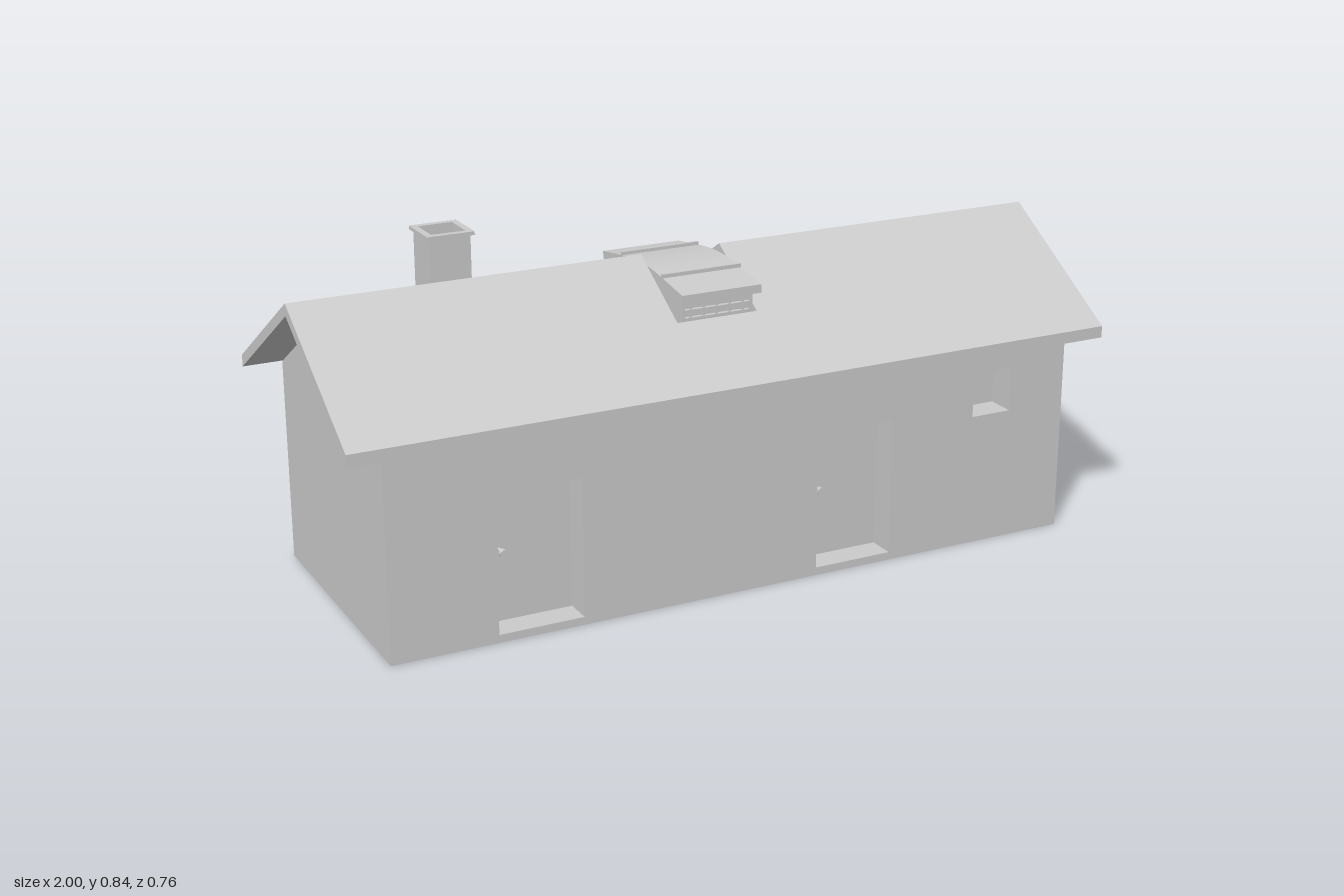
import * as THREE from 'three';

const material = new THREE.MeshStandardMaterial({ color: 0xcccccc });

function add(parent, name, geometry, x = 0, y = 0, z = 0) {
  const mesh = new THREE.Mesh(geometry, material);
  mesh.name = name;
  mesh.position.set(x, y, z);
  parent.add(mesh);
  return mesh;
}

// Box given by its limits
function block(parent, name, x0, x1, y0, y1, z0, z1) {
  return add(parent, name, new THREE.BoxGeometry(x1 - x0, y1 - y0, z1 - z0),
    (x0 + x1) / 2, (y0 + y1) / 2, (z0 + z1) / 2);
}

const polygon = (points) => new THREE.Shape(points.map(([a, b]) => new THREE.Vector2(a, b)));
const rect = (x0, x1, y0, y1) => [[x0, y0], [x1, y0], [x1, y1], [x0, y1]];
const extrude = (shape, depth) =>
  new THREE.ExtrudeGeometry(shape, { depth, bevelEnabled: false, curveSegments: 12 });

// Extrude a (z, y) profile along x from x0 to x1
function alongX(parent, name, shape, x0, x1) {
  const geometry = extrude(shape, x1 - x0).rotateY(-Math.PI / 2);
  return add(parent, name, geometry, x1, 0, 0);
}

// Square tube standing upright
function squareTube(parent, name, x, z, outer, inner, y0, y1) {
  const shape = polygon(rect(-outer, outer, -outer, outer));
  shape.holes.push(polygon(rect(-inner, inner, -inner, inner)));
  add(parent, name, extrude(shape, y1 - y0).rotateX(-Math.PI / 2), x, y0, z);
}

function createWalls(house) {
  const W = 0.91, D = 0.35, T = 0.09, eave = 0.515;
  const doors = [[-0.645, -0.43], [0.195, 0.405]];

  // Front wall with door and window openings
  const front = polygon(rect(-W, W, 0, eave));
  for (const [a, b] of doors) front.holes.push(polygon(rect(a, b, 0.02, 0.37)));
  front.holes.push(polygon(rect(0.64, 0.75, 0.34, 0.455)));
  add(house, 'frontWall', extrude(front, T), 0, 0, D - T);
  block(house, 'backWall', -W, W, 0, eave, -D, -D + T);
  block(house, 'floor', -W + 0.01, W - 0.01, 0, 0.02, -D + T, D - T);

  // Pointed end walls
  const gable = polygon([[-D, 0], [D, 0], [D, eave], [0, 0.73], [-D, eave]]);
  alongX(house, 'rightGable', gable, -W, -W + T);
  alongX(house, 'leftGable', gable, W - T, W);

  // Recessed doors with knobs
  for (const [a, b] of doors) {
    const door = new THREE.Group();
    door.name = 'door';
    house.add(door);
    block(door, 'doorPanel', a, b, 0.02, 0.37, D - T + 0.002, D - 0.07);
    const stem = new THREE.CylinderGeometry(0.005, 0.005, 0.02, 12).rotateX(Math.PI / 2);
    add(door, 'knobStem', stem, a + 0.034, 0.2, D - 0.06);
    const knob = new THREE.CylinderGeometry(0.01, 0.01, 0.012, 16).rotateX(Math.PI / 2);
    add(door, 'doorKnob', knob, a + 0.034, 0.2, D - 0.045);
  }
  block(house, 'windowPane', 0.64, 0.75, 0.34, 0.455, D - T + 0.002, D - 0.075);
}

function createRoof(house) {
  const gap = 0.107, cut = 0.195, edge = 0.382;
  const top = (z) => 0.77 - 0.615 * z;
  const low = (z) => top(z) - 0.03;

  // Full slabs either side of the vent opening
  const slab = polygon([[-edge, low(edge)], [0, low(0)], [edge, low(edge)],
    [edge, top(edge)], [0, top(0)], [-edge, top(edge)]]);
  alongX(house, 'roofRight', slab, -1, -gap);
  alongX(house, 'roofLeft', slab, gap, 1);

  // Lower slope below the vent, front and back
  for (const s of [1, -1]) {
    const part = polygon([[s * cut, low(cut)], [s * edge, low(edge)],
      [s * edge, top(edge)], [s * cut, top(cut)]]);
    alongX(house, s > 0 ? 'roofFrontMiddle' : 'roofBackMiddle', part, -gap, gap);
  }
}

function createRidgeVent(house) {
  const vent = new THREE.Group();
  vent.name = 'ridgeVent';
  house.add(vent);

  // Curved cover
  const cover = new THREE.Shape();
  cover.moveTo(-0.218, 0.702);
  cover.lineTo(-0.1, 0.717);
  cover.quadraticCurveTo(0, 0.737, 0.1, 0.717);
  cover.lineTo(0.218, 0.702);
  cover.lineTo(0.218, 0.723);
  cover.lineTo(0.1, 0.741);
  cover.quadraticCurveTo(0, 0.757, -0.1, 0.741);
  cover.lineTo(-0.218, 0.723);
  alongX(vent, 'ventCover', cover, -0.106, 0.106);

  // Side cheeks reaching down to the wall line
  const cheek = polygon([[-0.195, 0.61], [0, 0.722], [0.195, 0.61],
    [0.195, 0.705], [0.1, 0.718], [0, 0.728], [-0.1, 0.718], [-0.195, 0.705]]);
  for (const s of [1, -1]) alongX(vent, 'ventCheek', cheek, s * 0.091 - 0.004, s * 0.091 + 0.004);

  for (const s of [1, -1]) {
    // Panel with grille bars, and the raised batten on the cover
    const bar = (name, x0, x1, y0, y1, z0, z1) =>
      block(vent, name, x0, x1, y0, y1, Math.min(s * z0, s * z1), Math.max(s * z0, s * z1));
    bar('ventPanel', -0.087, 0.087, 0.61, 0.705, 0.178, 0.184);
    for (const y of [0.61, 0.65, 0.67, 0.69]) {
      bar('ventSlat', -0.087, 0.087, y, y + 0.008, 0.184, 0.195);
    }
    for (let i = -2; i <= 2; i++) {
      bar('ventMullion', i * 0.035 - 0.003, i * 0.035 + 0.003, 0.61, 0.703, 0.184, 0.192);
    }
    bar('ventBatten', -0.106, 0.106, 0.732, 0.748, 0.107, 0.115);
  }
}

function createChimney(house) {
  const chimney = new THREE.Group();
  chimney.name = 'chimney';
  house.add(chimney);
  squareTube(chimney, 'chimneyShaft', -0.537, -0.213, 0.053, 0.044, 0.59, 0.827);
  squareTube(chimney, 'chimneyCap', -0.537, -0.213, 0.061, 0.044, 0.827, 0.836);
  block(chimney, 'chimneyBase', -0.581, -0.493, 0.59, 0.6, -0.257, -0.169);
}

export function createModel() {
  const house = new THREE.Group();
  house.name = 'house';
  createWalls(house);
  createRoof(house);
  createRidgeVent(house);
  createChimney(house);
  return house;
}
